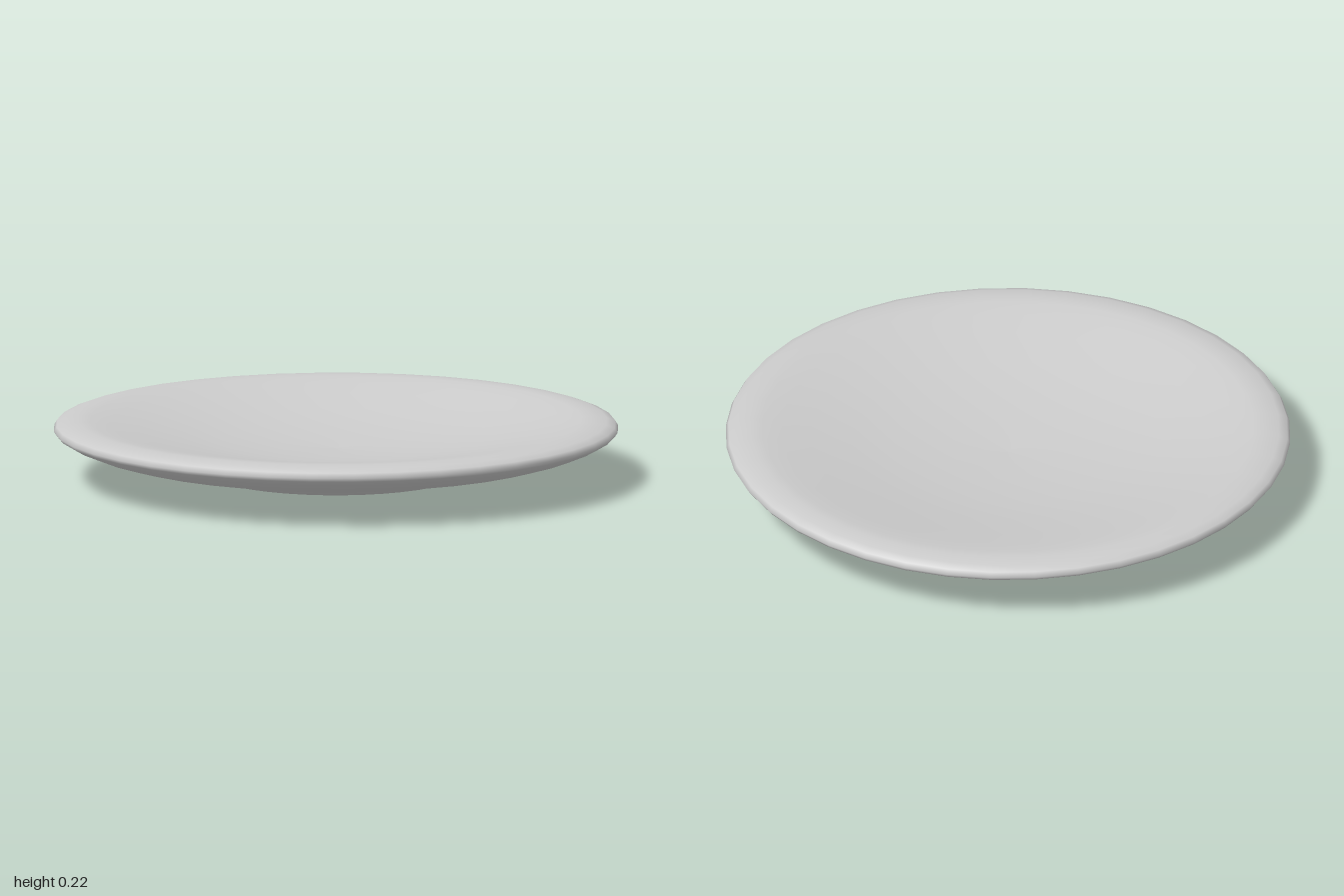
import * as THREE from 'three';

const SIDES = 40;

export function createModel() {
  const group = new THREE.Group();
  group.name = 'plate';

  // Profile [radius, height]: from the bottom centre, round the rim, to the dish centre
  const profile = [
    // gently domed foot and its sloping wall
    [0, 0], [0.15, 0.003], [0.3, 0.012], [0.42, 0.024], [0.45, 0.029], [0.49, 0.048], [0.53, 0.062],
    // underside
    [0.62, 0.073], [0.72, 0.088], [0.82, 0.108], [0.9, 0.131], [0.96, 0.156],
    // rounded rim
    [0.99, 0.174], [1, 0.188], [0.99, 0.205], [0.96, 0.216], [0.91, 0.222], [0.87, 0.22],
    // shallow dish
    [0.8, 0.209], [0.7, 0.19], [0.55, 0.163], [0.4, 0.141], [0.2, 0.124], [0, 0.118],
  ].map(([r, y]) => new THREE.Vector2(r, y));

  const dish = new THREE.Mesh(
    new THREE.LatheGeometry(profile, SIDES),
    new THREE.MeshStandardMaterial({ color: 0xcccccc })
  );
  dish.name = 'dish';
  group.add(dish);
  return group;
}
